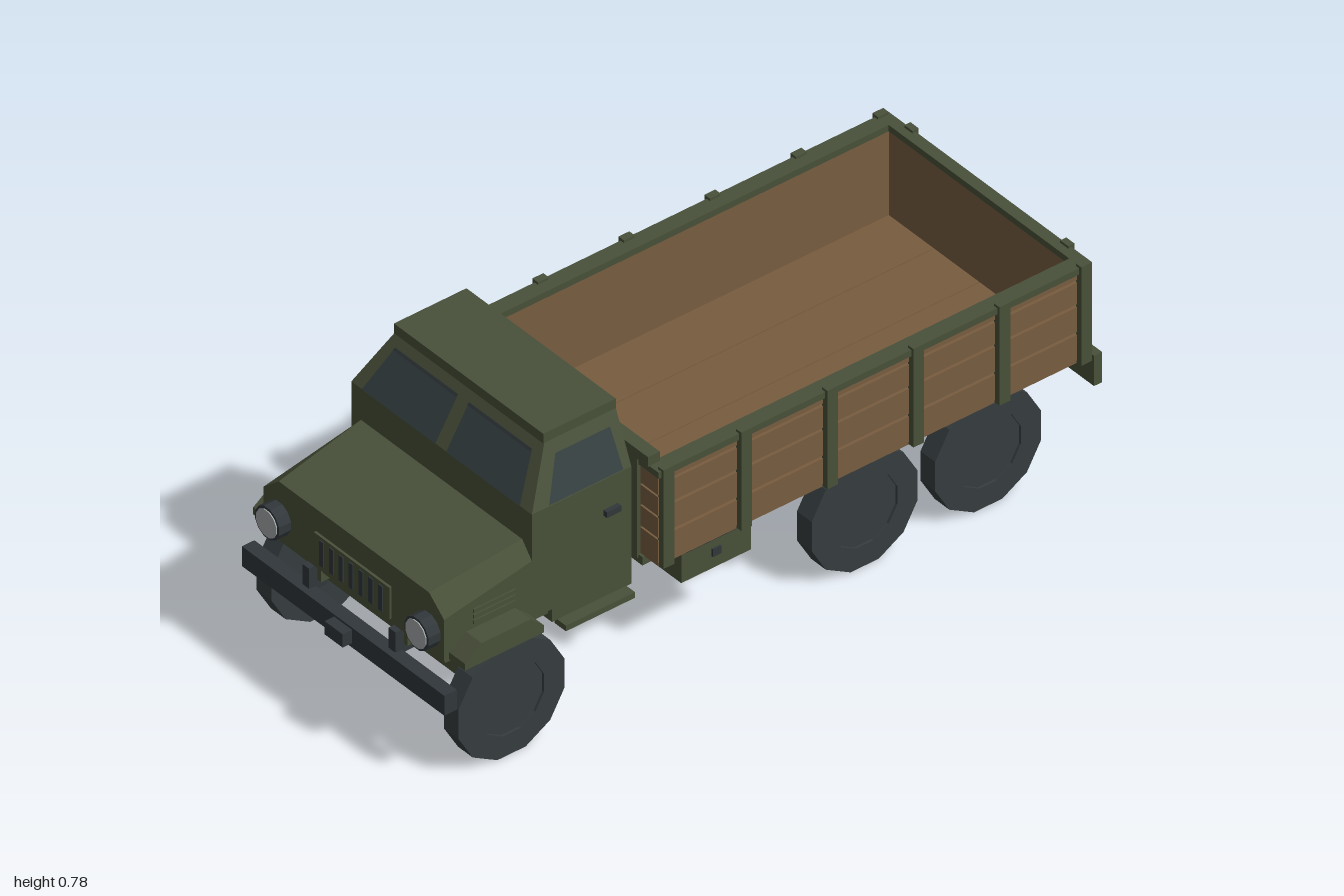
import * as THREE from 'three';
import { ConvexGeometry } from 'three/addons/geometries/ConvexGeometry.js';

export function createModel() {
  const truck = new THREE.Group();
  truck.name = 'cargoTruck';
  const mat = (name, color) => {
    const m = new THREE.MeshStandardMaterial({ color, flatShading: true });
    m.name = name;
    return m;
  };
  const green = mat('oliveGreen', 0x485039);
  const wood = mat('woodBrown', 0x785d40);
  const rubber = mat('tyreGrey', 0x363d3f);
  const dark = mat('darkMetal', 0x31373a);
  const glass = mat('windowGlass', 0x364041);
  const lens = mat('lampLens', 0xa3a8a9);
  const amber = mat('amberLamp', 0x85593a);
  const gap = mat('plankGap', 0x3a2c20);

  const add = (name, geo, material) => {
    const m = new THREE.Mesh(geo, material);
    m.name = name;
    truck.add(m);
    return m;
  };
  // Box given by its limits on each axis
  const box = (name, m, x0, x1, y0, y1, z0, z1) =>
    add(name, new THREE.BoxGeometry(x1 - x0, y1 - y0, z1 - z0), m)
      .position.set((x0 + x1) / 2, (y0 + y1) / 2, (z0 + z1) / 2);
  // The same box on both sides
  const pair = (name, m, x0, x1, ...r) => {
    box(name, m, x0, x1, ...r);
    box(name, m, -x1, -x0, ...r);
  };
  // Symmetric convex solid from its left-hand corners
  const hull = (name, m, pts) => add(name, new ConvexGeometry(
    pts.flatMap(([x, y, z]) => [new THREE.Vector3(x, y, z), new THREE.Vector3(-x, y, z)])), m);
  // Flat four-cornered pane, mirrored to both sides with its order reversed
  const panes = (name, m, pts) => {
    for (const s of [1, -1]) {
      const order = s > 0 ? [0, 1, 2, 0, 2, 3] : [0, 2, 1, 0, 3, 2];
      const g = new THREE.BufferGeometry();
      g.setAttribute('position', new THREE.Float32BufferAttribute(
        order.flatMap(i => [pts[i][0] * s, pts[i][1], pts[i][2]]), 3));
      g.computeVertexNormals();
      add(name, g, m);
    }
  };

  // Cab
  hull('cabBody', green, [
    [0.33, 0.32, 0.385], [0.33, 0.32, 0.68], [0.33, 0.62, 0.385], [0.33, 0.62, 0.68],
    [0.273, 0.755, 0.385], [0.273, 0.755, 0.597]]);
  box('cabRoof', green, -0.273, 0.273, 0.754, 0.782, 0.385, 0.6);
  box('cabSill', green, -0.33, 0.33, 0.283, 0.321, 0.385, 0.62);
  pair('runningBoard', green, 0.32, 0.362, 0.268, 0.284, 0.4, 0.605);
  pair('doorHandle', dark, 0.329, 0.343, 0.518, 0.534, 0.425, 0.468);

  // Windows, with a dark seal along the top of the windscreen
  const wz = y => 0.684 - (y - 0.62) * 0.615;
  panes('windscreen', glass, [
    [0.02, 0.622, wz(0.622)], [0.289, 0.622, wz(0.622)], [0.25, 0.733, wz(0.733)], [0.02, 0.733, wz(0.733)]]);
  panes('windscreenSeal', dark, [
    [0.02, 0.727, wz(0.727) + 0.002], [0.252, 0.727, wz(0.727) + 0.002],
    [0.25, 0.733, wz(0.733) + 0.002], [0.02, 0.733, wz(0.733) + 0.002]]);
  const sx = y => 0.333 - (y - 0.62) * 0.422;
  panes('sideWindow', glass, [
    [sx(0.624), 0.624, 0.63], [sx(0.624), 0.624, 0.41], [sx(0.725), 0.725, 0.415], [sx(0.725), 0.725, 0.577]]);
  panes('rearWindow', glass, [
    [0.215, 0.64, 0.382], [0.045, 0.64, 0.382], [0.045, 0.71, 0.382], [0.195, 0.71, 0.382]]);

  // Bonnet with chamfered shoulders
  hull('bonnet', green, [
    [0.295, 0.53, 0.679], [0.33, 0.487, 0.679], [0.33, 0.32, 0.679],
    [0.275, 0.487, 0.94], [0.33, 0.44, 0.94], [0.33, 0.32, 0.94]]);
  box('bonnetValance', green, -0.315, 0.315, 0.3, 0.321, 0.62, 0.925);
  for (let i = 0; i < 3; i++)
    pair('bonnetLouvre', green, 0.329, 0.334, 0.39 + i * 0.016, 0.4 + i * 0.016, 0.73, 0.855);

  // Front fenders
  const arch = new THREE.Shape([
    [0.925, 0.32], [0.925, 0.34], [0.875, 0.376], [0.73, 0.376], [0.69, 0.34], [0.69, 0.32]
  ].map(p => new THREE.Vector2(...p)));
  for (const s of [1, -1]) {
    const f = add('fender', new THREE.ExtrudeGeometry(arch, { depth: 0.062, bevelEnabled: false }), green);
    f.rotation.y = -Math.PI / 2;
    f.position.x = s > 0 ? 0.387 : -0.325;
  }

  // Grille
  box('grillePanel', green, -0.138, 0.138, 0.333, 0.424, 0.93, 0.947);
  for (let i = -3; i <= 3; i++)
    box('grilleSlot', dark, i * 0.036 - 0.0075, i * 0.036 + 0.0075, 0.343, 0.415, 0.94, 0.95);

  // Headlamps
  for (const s of [1, -1]) {
    const disc = (name, r, d, m, z) => {
      const c = add(name, new THREE.CylinderGeometry(r, r, d, 12), m);
      c.rotation.set(Math.PI / 2, Math.PI / 12, 0);
      c.position.set(s * 0.273, 0.385, z);
    };
    disc('headlampHousing', 0.045, 0.042, dark, 0.955);
    disc('headlampLens', 0.038, 0.006, lens, 0.976);
  }

  // Front bumper
  box('frontBumper', dark, -0.37, 0.37, 0.203, 0.26, 0.935, 0.972);
  box('towBlock', dark, -0.033, 0.033, 0.216, 0.254, 0.97, 1.0);
  pair('bumperBracket', dark, 0.145, 0.17, 0.25, 0.318, 0.9, 0.955);

  // Chassis
  pair('chassisRail', green, 0.132, 0.183, 0.275, 0.32, -0.96, 0.93);
  for (const z of [-0.88, -0.5, -0.1, 0.3, 0.88])
    box('crossMember', green, -0.14, 0.14, 0.282, 0.315, z - 0.02, z + 0.02);
  box('toolbox', green, 0.167, 0.315, 0.2, 0.312, 0.018, 0.225);
  box('toolboxLatch', dark, 0.314, 0.32, 0.235, 0.257, 0.11, 0.135);
  box('toolboxLidSeam', dark, 0.314, 0.317, 0.281, 0.285, 0.03, 0.21);

  // Axles and narrow twelve-sided wheels; the rear ones sit further in
  const R = 0.157 / Math.cos(Math.PI / 12);
  const tyre = [[0, -0.027], [R, -0.027], [R, 0.027], [0.1, 0.027], [0.1, 0.02], [0, 0.02]]
    .map(p => new THREE.Vector2(...p));
  for (const [z, x] of [[0.772, 0.342], [-0.314, 0.294], [-0.68, 0.294]]) {
    box('axle', green, -x + 0.025, x - 0.025, 0.135, 0.18, z - 0.022, z + 0.022);
    for (const s of [1, -1]) {
      const w = add('wheel', new THREE.LatheGeometry(tyre, 12, Math.PI / 12), rubber);
      w.rotation.z = -s * Math.PI / 2;
      w.position.set(s * x, 0.157, z);
    }
  }

  // Cargo bed frame, wooden base and floor boards
  box('bedFrame', green, -0.315, 0.315, 0.305, 0.329, -0.945, 0.34);
  box('bedBase', wood, -0.364, 0.364, 0.328, 0.336, -0.94, 0.333);
  box('floorGap', gap, -0.335, 0.335, 0.335, 0.34, -0.92, 0.31);
  for (let i = 0; i < 4; i++)
    box('floorBoard', wood, -0.332 + i * 0.1665, -0.1675 + i * 0.1665, 0.338, 0.345, -0.92, 0.31);

  // Bed walls: smooth lining, planks outside, rails on top
  pair('sideLining', wood, 0.332, 0.342, 0.332, 0.59, -0.93, 0.325);
  box('frontLining', wood, -0.34, 0.34, 0.332, 0.59, 0.305, 0.315);
  box('tailLining', wood, -0.34, 0.34, 0.332, 0.59, -0.925, -0.915);
  pair('sideBacking', gap, 0.34, 0.346, 0.335, 0.59, -0.92, 0.31);
  box('frontBacking', gap, -0.34, 0.34, 0.335, 0.59, 0.314, 0.32);
  box('tailBacking', gap, -0.34, 0.34, 0.335, 0.59, -0.93, -0.924);
  [[0.337, 0.41], [0.418, 0.49], [0.498, 0.56], [0.568, 0.59]].forEach(([a, b]) =>
    pair('sidePlank', wood, 0.342, 0.366, a, b, -0.925, 0.317));
  [[0.337, 0.404], [0.41, 0.467], [0.473, 0.527], [0.533, 0.59]].forEach(([a, b]) => {
    box('frontPlank', wood, -0.365, 0.365, a, b, 0.315, 0.334);
    box('tailPlank', wood, -0.365, 0.365, a, b, -0.942, -0.924);
  });
  pair('sideRail', green, 0.33, 0.374, 0.588, 0.606, -0.945, 0.34);
  box('frontRail', green, -0.37, 0.37, 0.588, 0.606, 0.303, 0.34);
  box('headerRail', green, -0.34, 0.34, 0.605, 0.633, 0.309, 0.344);
  box('tailRail', green, -0.37, 0.37, 0.588, 0.606, -0.945, -0.913);

  // Stakes
  for (const z of [0.316, 0.085, -0.17, -0.425, -0.68, -0.923])
    pair('sideStake', green, 0.362, 0.382, 0.33, 0.613, z - 0.016, z + 0.016);
  pair('frontStake', green, 0.27, 0.3, 0.32, 0.606, 0.33, 0.344);
  pair('tailStake', green, 0.27, 0.3, 0.32, 0.613, -0.953, -0.935);
  pair('tailHinge', dark, 0.185, 0.22, 0.33, 0.385, -0.95, -0.935);

  // Rear bumper and lamps
  box('rearBumper', green, -0.365, 0.365, 0.238, 0.325, -0.982, -0.958);
  box('rearTowBlock', dark, -0.035, 0.035, 0.262, 0.3, -0.998, -0.98);
  pair('rearLampBox', dark, 0.152, 0.198, 0.26, 0.31, -0.996, -0.98);
  pair('rearLampLens', amber, 0.159, 0.191, 0.267, 0.303, -1.0, -0.995);
  return truck;
}
